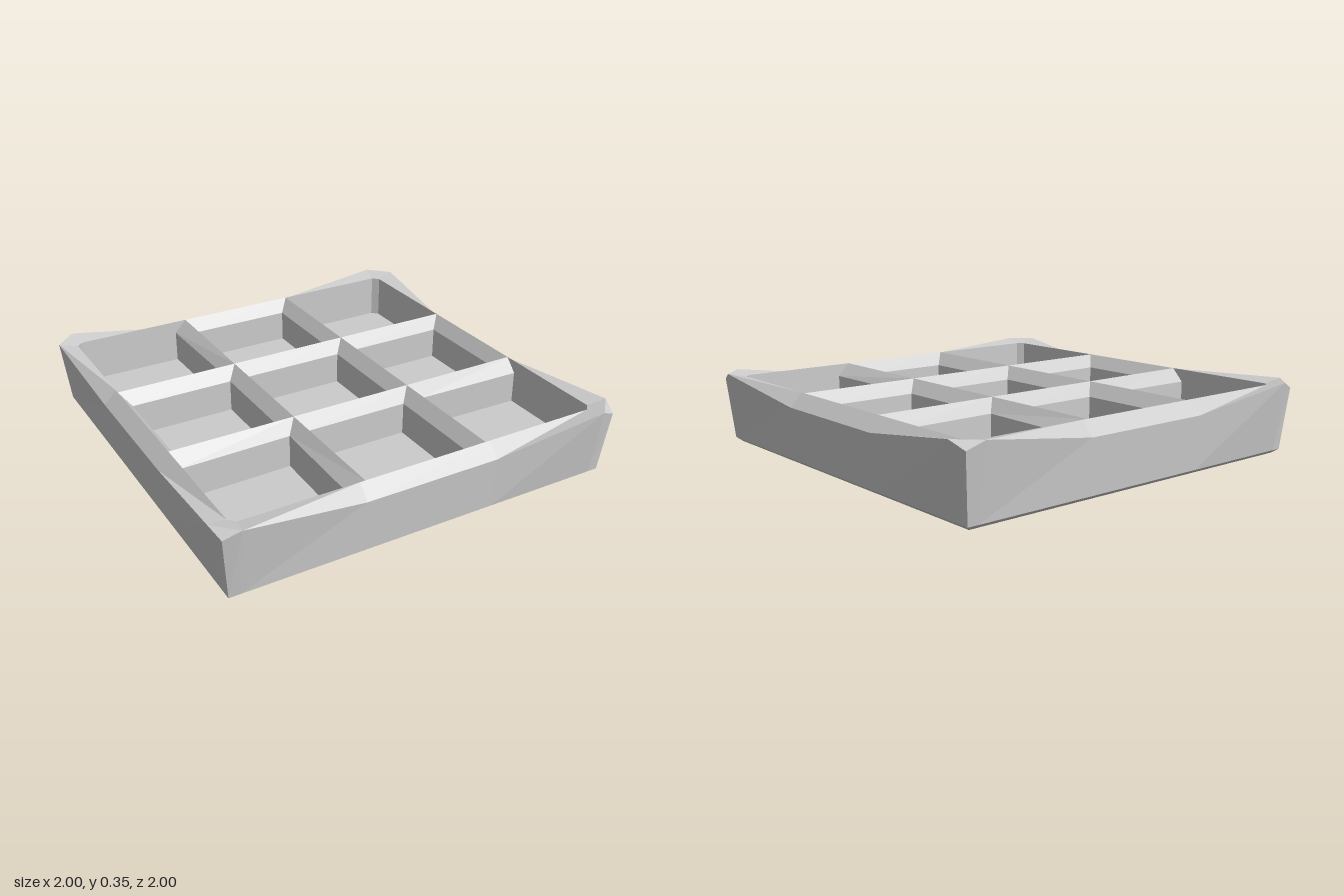
import * as THREE from 'three';

const RIDGE = 0.335, SHOULDER = 0.272, FLOOR = 0.115;
const material = new THREE.MeshStandardMaterial({ color: 0xcccccc, flatShading: true });

// Joins successive loops of [x, y, z] points with quads, skipping collapsed triangles.
// Loops run anticlockwise seen from above; capFirst faces down, capLast faces up.
function loft(name, loops, { capFirst = false, capLast = false } = {}) {
  const positions = [];
  const tri = (...corners) => {
    const [a, b, c] = corners.map((p) => new THREE.Vector3(...p));
    if (b.sub(a).cross(c.sub(a)).length() > 1e-7) positions.push(...corners.flat());
  };
  for (let k = 0; k + 1 < loops.length; k++) {
    const lower = loops[k], upper = loops[k + 1], n = lower.length;
    for (let i = 0; i < n; i++) {
      const j = (i + 1) % n;
      tri(lower[i], lower[j], upper[j]);
      tri(lower[i], upper[j], upper[i]);
    }
  }
  const first = loops[0], last = loops[loops.length - 1];
  for (let i = 1; i + 1 < first.length; i++) {
    if (capFirst) tri(first[0], first[i + 1], first[i]);
    if (capLast) tri(last[0], last[i], last[i + 1]);
  }
  const geometry = new THREE.BufferGeometry();
  geometry.setAttribute('position', new THREE.Float32BufferAttribute(positions, 3));
  geometry.computeVertexNormals();
  const mesh = new THREE.Mesh(geometry, material);
  mesh.name = name;
  return mesh;
}

// Repeats one side's points around all four sides.
function ring(side) {
  const loop = [];
  let points = side;
  for (let k = 0; k < 4; k++) {
    loop.push(...points);
    points = points.map(([x, y, z]) => [z, y, -x]);
  }
  return loop;
}

const level = (points, y) => points.map(([x, z]) => [x, y, z]);

// Square compartment: bevelled shoulders, then straight walls to the floor.
function squareCell(name, x0, x1, z0, z1) {
  const rect = (d) => [[x0 + d, z1 - d], [x1 - d, z1 - d], [x1 - d, z0 + d], [x0 + d, z0 + d]];
  return loft(name, [level(rect(0), RIDGE), level(rect(0.05), SHOULDER), level(rect(0.05), FLOOR)], { capLast: true });
}

// Corner compartment: bevelled only along the dividers, with a clipped outer corner.
function cornerCell(name) {
  const outline = (a, b) => [[b, 0.91], [0.88, 0.91], [0.91, 0.88], [0.91, b], [a, a]];
  const inner = outline(0.353, 0.365);
  return loft(name, [level(outline(0.305, 0.305), RIDGE), level(inner, SHOULDER), level(inner, FLOOR)], { capLast: true });
}

export function createModel() {
  const tray = new THREE.Group();
  tray.name = 'compartmentTray';

  // Outer shell: bevelled base, flared walls and a rim that dips between raised corners
  const xs = [-0.9, -0.33, 0.33, 0.9];
  const bottom = ring([...xs.map((x) => [x * 0.97, 0, 0.925]), [0.925, 0, 0.925]]);
  const base = ring([...xs.map((x) => [x, 0.02, 0.95]), [0.95, 0.02, 0.95]]);
  const edge = [[-0.9, 0.355, 1], [-0.33, 0.272, 0.97], [0.33, 0.272, 0.97], [0.9, 0.355, 1]];
  const wallTop = ring([...edge, [0.977, 0.32, 0.977]]);
  const rimOuter = ring([...edge, [0.95, 0.355, 0.95]]);
  const rimInner = ring([[-0.88, RIDGE, 0.91], [-0.33, RIDGE, 0.91], [0.33, RIDGE, 0.91],
    [0.88, RIDGE, 0.91], [0.895, RIDGE, 0.895]]);
  tray.add(loft('outerShell', [bottom, base, wallTop, rimOuter, rimInner], { capFirst: true }));

  // Nine compartments whose upper edges meet as the divider ridges
  tray.add(squareCell('centreCompartment', -0.305, 0.305, -0.305, 0.305));
  for (let k = 0; k < 4; k++) {
    const quarter = new THREE.Group();
    quarter.name = 'compartmentPair' + (k + 1);
    quarter.add(squareCell('edgeCompartment', -0.305, 0.305, 0.305, 0.91), cornerCell('cornerCompartment'));
    quarter.rotation.y = (k * Math.PI) / 2;
    tray.add(quarter);
  }
  return tray;
}
